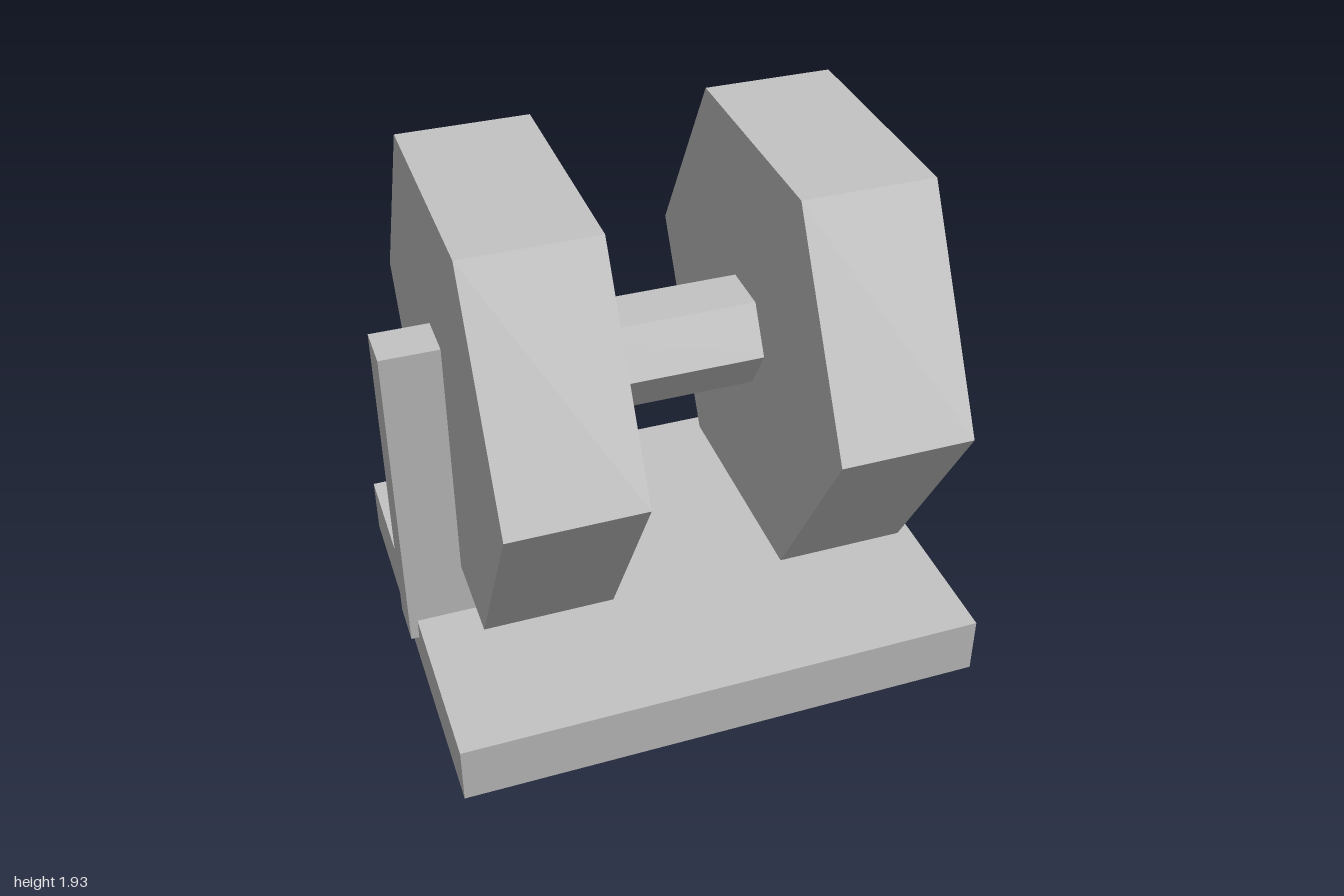
import * as THREE from 'three';

export function createModel() {
  const group = new THREE.Group();
  const grey = new THREE.MeshStandardMaterial({ color: 0xc4c4c4 });
  grey.name = 'light grey';

  const add = (name, geometry, x, y, z) => {
    const mesh = new THREE.Mesh(geometry, grey);
    mesh.name = name;
    mesh.position.set(x, y, z);
    group.add(mesh);
  };

  // Hexagonal prism lying along x, with corners pointing to front and back
  const hexPrism = (radius, length) =>
    new THREE.CylinderGeometry(radius, radius, length, 6).toNonIndexed().rotateZ(Math.PI / 2);
  const hexFlat = (radius, length) => {
    const geometry = hexPrism(radius, length);
    geometry.computeVertexNormals();
    return geometry;
  };

  const axleY = 1.185;

  // Base plate
  add('base', new THREE.BoxGeometry(1.94, 0.225, 1.525), 0, 0.1125, 0);

  // Axle joining the two wheels
  add('axle', hexFlat(0.195, 0.8), 0, axleY, 0);

  // Wheels and their supports, mirrored left and right
  for (const [side, s] of [['left', 1], ['right', -1]]) {
    add(side + 'Wheel', hexFlat(0.86, 0.47), s * 0.555, axleY, 0);
    add(side + 'Support', new THREE.BoxGeometry(0.475, 1.25, 0.168), s * 0.7625, 0.767, 0);
  }
  return group;
}
